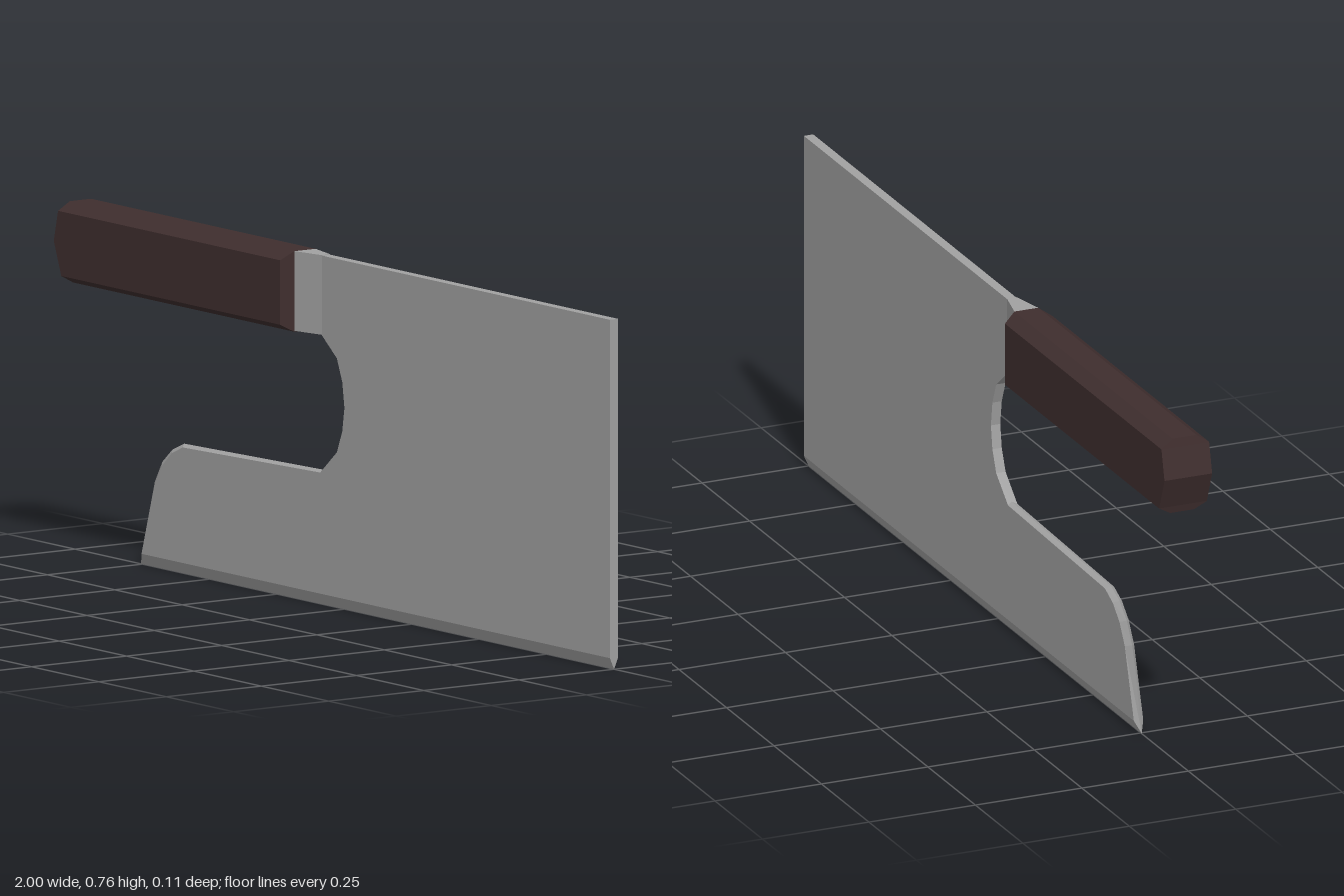
import * as THREE from 'three';

const steel = new THREE.MeshStandardMaterial({ color: 0xa1a1a1 });
steel.name = 'steel grey';
const wood = new THREE.MeshStandardMaterial({ color: 0x3f2e2e });
wood.name = 'dark brown wood';

// Joins equal rings of points with faceted walls and closes both ends
function loft(rings, capTriangles) {
  const pos = [];
  const tri = (a, b, c) => pos.push(...a, ...b, ...c);
  const n = rings[0].length;
  for (let r = 0; r < rings.length - 1; r++) {
    for (let i = 0; i < n; i++) {
      const j = (i + 1) % n;
      const [p, q] = [rings[r], rings[r + 1]];
      tri(p[i], p[j], q[j]);
      tri(p[i], q[j], q[i]);
    }
  }
  const first = rings[0], last = rings[rings.length - 1];
  for (const [a, b, c] of capTriangles) {
    tri(last[a], last[b], last[c]);
    tri(first[a], first[c], first[b]);
  }
  const g = new THREE.BufferGeometry();
  g.setAttribute('position', new THREE.Float32BufferAttribute(pos, 3));
  g.computeVertexNormals();
  return g;
}

function makeBlade() {
  const t = 0.011;
  // Outline shared by the edge and the flat faces: spine and finger notch
  const notch = [
    [1, 0.76], [-0.07, 0.76], [-0.07, 0.588], [-0.013, 0.544], [0.007, 0.495],
    [0.015, 0.44], [0.007, 0.388], [-0.013, 0.34],
  ];
  // Sharpened outline along the centre plane
  const edge = [
    [-0.755, 0], [1, 0], ...notch, [-0.07, 0.293], [-0.595, 0.282],
    [-0.638, 0.264], [-0.676, 0.232], [-0.704, 0.185],
  ];
  // Start of the bevel on each flat face
  const face = [
    [-0.738, 0.025], [1, 0.025], ...notch, [-0.075, 0.288], [-0.585, 0.276],
    [-0.626, 0.258], [-0.662, 0.226], [-0.69, 0.18],
  ];
  const ring = (pts, z) => pts.map(([x, y]) => [x, y, z]);
  const caps = THREE.ShapeUtils.triangulateShape(face.map((p) => new THREE.Vector2(...p)), []);
  return loft([ring(face, -t), ring(edge, 0), ring(face, t)], caps);
}

function makeNeck() {
  // Tapers from the grip down to the blade thickness
  const g = new THREE.BoxGeometry(0.078, 0.173, 2).toNonIndexed();
  const p = g.attributes.position;
  for (let i = 0; i < p.count; i++) {
    p.setZ(i, p.getZ(i) * (p.getX(i) < 0 ? 0.028 : 0.011));
  }
  g.translate(-0.108, 0.6745, 0);
  g.computeVertexNormals();
  return g;
}

function makeHandle() {
  // Half section [z, y], bottom to top, with the butt's x position
  const half = [
    [0.028, 0.586, -0.968], [0.056, 0.602, -0.972], [0.056, 0.675, -1],
    [0.056, 0.742, -0.984], [0.028, 0.761, -0.98],
  ];
  const section = [
    ...half.map(([z, y, x]) => [-z, y, x]),
    ...[...half].reverse(),
  ];
  const butt = section.map(([z, y, x]) => [x, y, z]);
  const shoulder = section.map(([z, y]) => [Math.abs(z) > 0.03 ? -0.16 : -0.147, y, z]);
  const collar = section.map(([z, y]) => [-0.147, y, Math.sign(z) * 0.028]);
  // Horizontal strips across the ends keep the butt's ridge straight
  const caps = [];
  const n = section.length;
  for (let i = 0; i < half.length - 1; i++) {
    caps.push([i, i + 1, n - 2 - i], [i, n - 2 - i, n - 1 - i]);
  }
  return loft([butt, shoulder, collar], caps);
}

export function createModel() {
  const group = new THREE.Group();
  group.name = 'noodleKnife';
  const add = (name, geometry, material) => {
    const mesh = new THREE.Mesh(geometry, material);
    mesh.name = name;
    group.add(mesh);
  };
  add('blade', makeBlade(), steel);
  add('neck', makeNeck(), steel);
  add('handle', makeHandle(), wood);
  return group;
}
